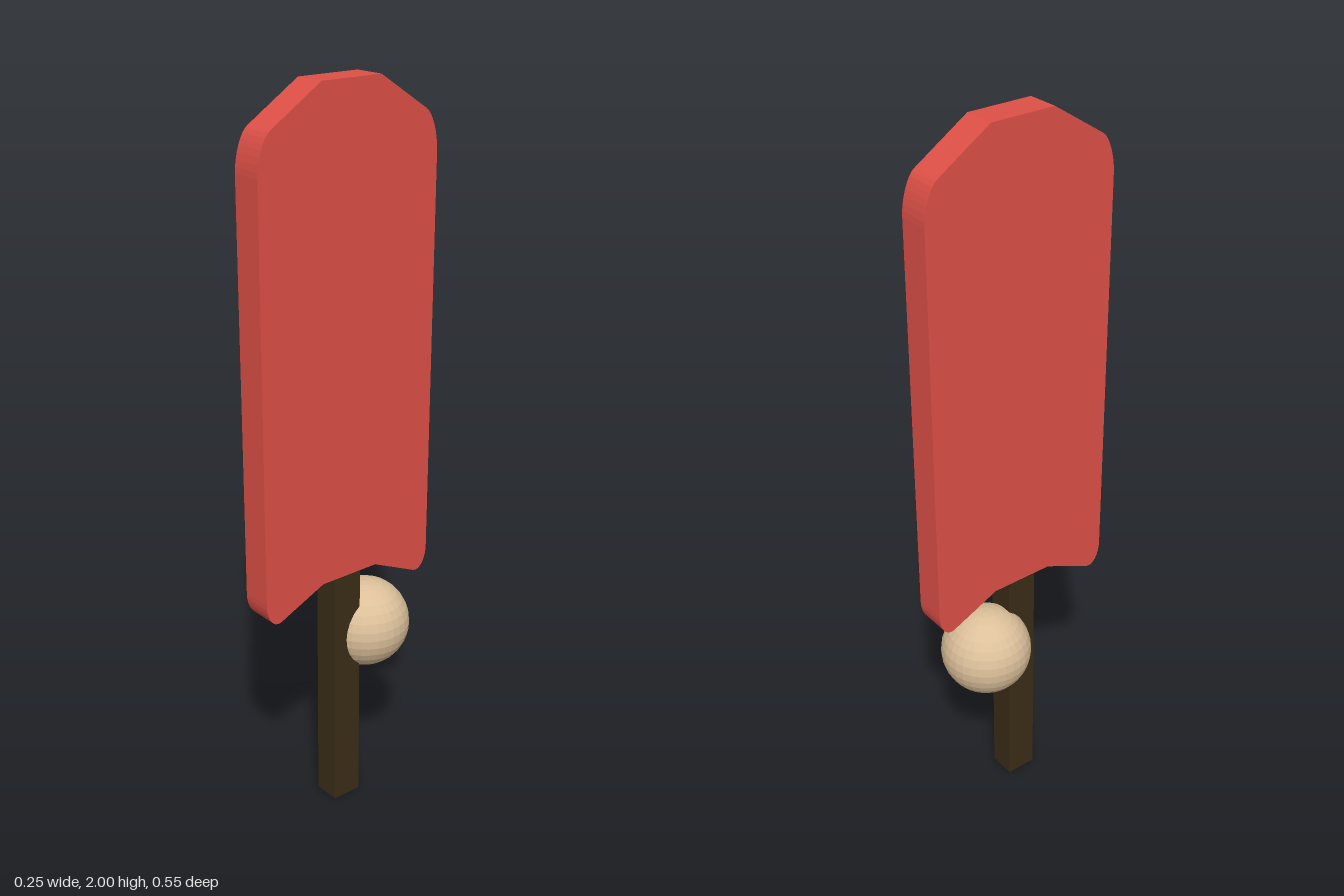
import * as THREE from 'three';

const material = (color) => new THREE.MeshStandardMaterial({ color, flatShading: true });

function addPart(group, name, geometry, color, x = 0, y = 0, z = 0) {
  const mesh = new THREE.Mesh(geometry, material(color));
  mesh.name = name;
  mesh.position.set(x, y, z);
  group.add(mesh);
}

// Flat blade: symmetric outline with tapered top, rounded shoulders and notched bottom
function bladeGeometry() {
  const s = new THREE.Shape();
  s.moveTo(-0.09, 0.71);
  s.lineTo(0.09, 0.71);
  s.lineTo(0.23, 0.646);
  s.bezierCurveTo(0.255, 0.637, 0.275, 0.67, 0.275, 0.71);
  s.lineTo(0.275, 1.8);
  s.bezierCurveTo(0.275, 1.84, 0.258, 1.895, 0.235, 1.907);
  s.lineTo(0.09, 2);
  s.lineTo(-0.09, 2);
  s.lineTo(-0.235, 1.907);
  s.bezierCurveTo(-0.258, 1.895, -0.275, 1.84, -0.275, 1.8);
  s.lineTo(-0.275, 0.71);
  s.bezierCurveTo(-0.275, 0.67, -0.255, 0.637, -0.23, 0.646);
  s.closePath();
  // Turn the outline into the z-y plane, thickness along x
  return new THREE.ExtrudeGeometry(s, { depth: 0.087, bevelEnabled: false, curveSegments: 8 })
    .rotateY(Math.PI / 2);
}

export function createModel() {
  const group = new THREE.Group();
  group.name = 'paddleAndBall';
  addPart(group, 'blade', bladeGeometry(), 0xdd5047, -0.025);
  addPart(group, 'handle', new THREE.BoxGeometry(0.075, 0.76, 0.087), 0x3b2d17, 0.018, 0.38, 0.002);
  addPart(group, 'ball', new THREE.SphereGeometry(0.125, 32, 16), 0xdcc09a, 0, 0.505, -0.107);
  return group;
}
